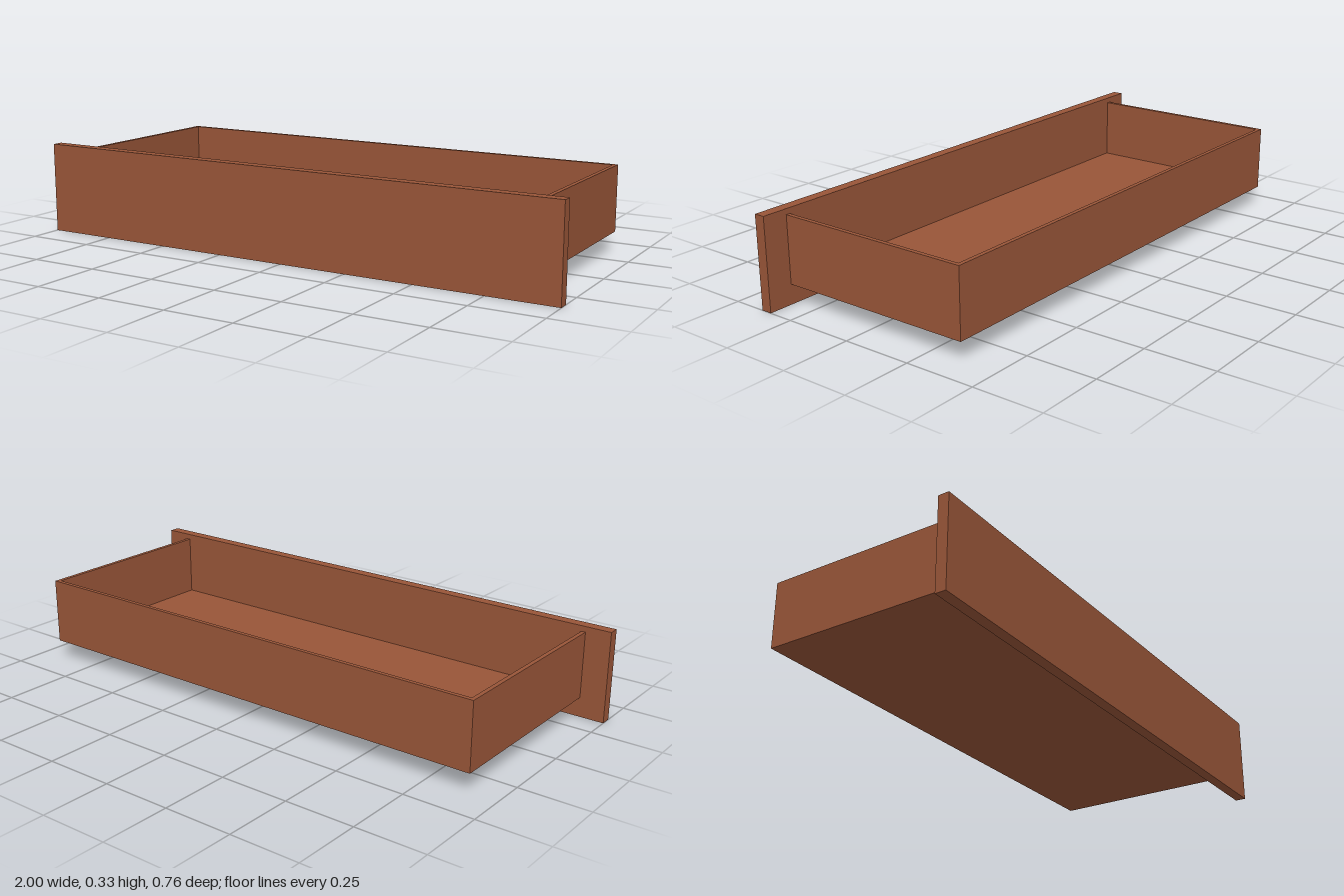
import * as THREE from 'three';

export function createModel() {
  const group = new THREE.Group();
  group.name = 'drawer';
  const wood = new THREE.MeshStandardMaterial({ color: 0x985538 });
  wood.name = 'brown wood';

  // Adds a board given its lower and upper limits on each axis
  function board(name, [x0, x1], [y0, y1], [z0, z1]) {
    const mesh = new THREE.Mesh(new THREE.BoxGeometry(x1 - x0, y1 - y0, z1 - z0), wood);
    mesh.position.set((x0 + x1) / 2, (y0 + y1) / 2, (z0 + z1) / 2);
    mesh.name = name;
    group.add(mesh);
  }

  const halfWidth = 0.908, wall = 0.015;
  const bottom = 0.07, top = 0.308, back = -0.38, panelBack = 0.341;
  const inner = halfWidth - wall;

  // Wide front panel, overhanging the tray on every side
  board('frontPanel', [-1, 1], [0, 0.328], [panelBack, 0.38]);

  // Open tray behind it
  board('floor', [-inner, inner], [bottom, bottom + wall], [back + wall, panelBack]);
  board('backWall', [-inner, inner], [bottom, top], [back, back + wall]);
  board('leftWall', [inner, halfWidth], [bottom, top], [back, panelBack]);
  board('rightWall', [-halfWidth, -inner], [bottom, top], [back, panelBack]);

  return group;
}
